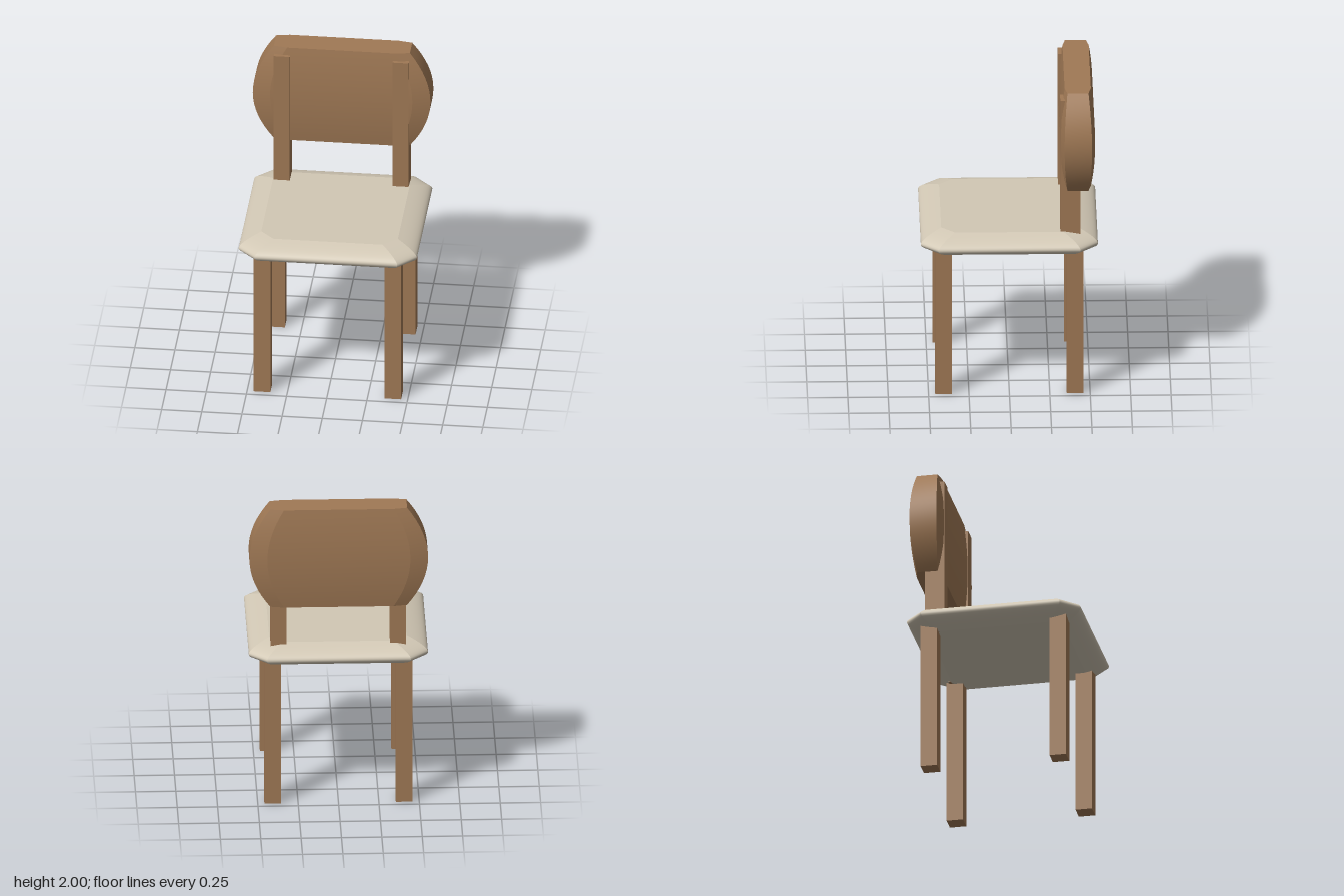
import * as THREE from 'three';
import { mergeGeometries } from 'three/addons/utils/BufferGeometryUtils.js';

// Chamfered slab: an octagon outline that bulges towards mid-height.
// hx, hy, hz are half sizes; cx, cz are the corner cuts.
function cushionGeometry(hx, hy, hz, cx, cz, rows = 16) {
  const outline = [
    [-hx + cx, hz], [hx - cx, hz], [hx, hz - cz], [hx, -hz + cz],
    [hx - cx, -hz], [-hx + cx, -hz], [-hx, -hz + cz], [-hx, hz - cz],
  ];
  const inner = 0.766;
  const at = ([x, z], u) => {
    const s = inner + (1 - inner) * (1 - u * u);
    return [x * s, u * hy, z * s];
  };
  const make = (positions, index) => {
    const g = new THREE.BufferGeometry();
    g.setAttribute('position', new THREE.Float32BufferAttribute(positions, 3));
    g.setIndex(index);
    g.computeVertexNormals();
    return g;
  };
  const pieces = [];
  // Each side is its own strip: smooth vertically, creased at the corners
  outline.forEach((a, i) => {
    const b = outline[(i + 1) % outline.length];
    const positions = [], index = [];
    for (let r = 0; r <= rows; r++) {
      const u = -1 + (2 * r) / rows;
      positions.push(...at(a, u), ...at(b, u));
      if (r < rows) {
        const k = 2 * r;
        index.push(k, k + 1, k + 3, k, k + 3, k + 2);
      }
    }
    pieces.push(make(positions, index));
  });
  // Flat top and bottom
  for (const u of [1, -1]) {
    const positions = outline.flatMap((p) => at(p, u));
    const index = [];
    for (let i = 1; i < outline.length - 1; i++) {
      index.push(...(u > 0 ? [0, i, i + 1] : [0, i + 1, i]));
    }
    pieces.push(make(positions, index));
  }
  return mergeGeometries(pieces);
}

export function createModel() {
  const wood = new THREE.MeshStandardMaterial({ color: 0xa07955 });
  wood.name = 'wood';
  const fabric = new THREE.MeshStandardMaterial({ color: 0xd2c8b5 });
  fabric.name = 'cream fabric';

  const model = new THREE.Group();
  model.name = 'chair';
  const add = (name, geometry, material, x, y, z) => {
    const mesh = new THREE.Mesh(geometry, material);
    mesh.name = name;
    mesh.position.set(x, y, z);
    model.add(mesh);
  };

  // Seat cushion and backrest share the same bulging shape
  add('seat', cushionGeometry(0.555, 0.071, 0.548, 0.11, 0.11), fabric, 0, 1, 0);
  add('backrest', cushionGeometry(0.553, 0.328, 0.106, 0.11, 0.021), wood, 0, 1.672, -0.425);

  // Square legs and the two posts carrying the backrest
  const leg = new THREE.BoxGeometry(0.104, 1, 0.104);
  const post = new THREE.BoxGeometry(0.1, 1.02, 0.124);
  for (const [side, sx] of [['left', 1], ['right', -1]]) {
    add(side + 'FrontLeg', leg, wood, sx * 0.407, 0.5, 0.407);
    add(side + 'BackLeg', leg, wood, sx * 0.407, 0.5, -0.407);
    add(side + 'BackPost', post, wood, sx * 0.37, 1.44, -0.378);
  }
  return model;
}
